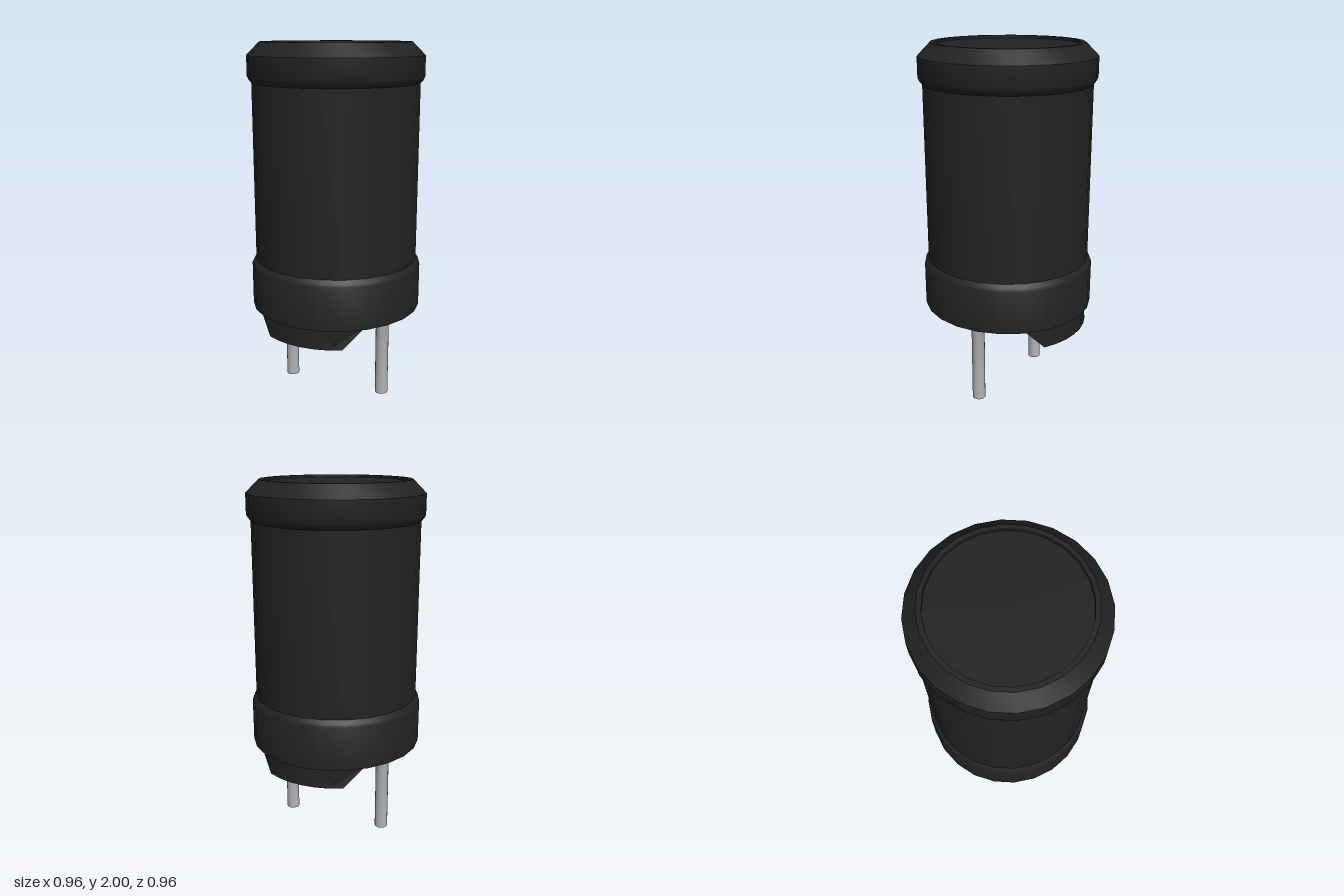
import * as THREE from 'three';
import { toCreasedNormals } from 'three/addons/utils/BufferGeometryUtils.js';

const black = new THREE.MeshStandardMaterial({ color: 0x222222 });
black.name = 'black sleeve';
const metal = new THREE.MeshStandardMaterial({ color: 0xb4b5b8 });
metal.name = 'tinned metal';
const copper = new THREE.MeshStandardMaterial({ color: 0xc08020 });
copper.name = 'copper wire';

function mesh(name, geometry, material) {
  const m = new THREE.Mesh(geometry, material);
  m.name = name;
  return m;
}

function lathe(points, sides, crease) {
  const profile = points.map(([r, y]) => new THREE.Vector2(r, y));
  return toCreasedNormals(new THREE.LatheGeometry(profile, sides), crease);
}

// Horizontal outline of a foot: outer arc, then the straight inner edge
function footLoop(y, arc, innerX, innerZ) {
  const loop = [];
  const steps = 6, r = 0.455;
  for (let i = 0; i <= steps; i++) {
    const a = arc * (2 * i / steps - 1);
    loop.push([r * Math.sin(a), y, r * Math.cos(a)]);
  }
  loop.push([innerX, y, innerZ], [-innerX, y, innerZ]);
  return loop;
}

// Foot tapering downwards between two outlines
function footGeometry() {
  const top = footLoop(0.54, Math.PI / 4, 0.27, 0.21);
  const low = footLoop(0.415, 0.505, 0.19, 0.34);
  const p = [];
  const n = top.length;
  for (let i = 0; i < n; i++) {
    const j = (i + 1) % n;
    p.push(...low[i], ...low[j], ...top[j], ...low[i], ...top[j], ...top[i]);
    if (i > 0 && i < n - 1) p.push(...low[0], ...low[i + 1], ...low[i]);
  }
  const g = new THREE.BufferGeometry();
  g.setAttribute('position', new THREE.Float32BufferAttribute(p, 3));
  g.computeVertexNormals();
  return toCreasedNormals(g, 0.4);
}

export function createModel() {
  const model = new THREE.Group();
  model.name = 'radialInductor';

  // Sleeve with flared ends and a shallow recess in the top
  model.add(mesh('sleeve', lathe([
    [0, 0.533], [0.48, 0.533], [0.48, 0.775], [0.472, 0.79], [0.457, 0.81],
    [0.457, 1.785], [0.472, 1.803], [0.48, 1.82], [0.48, 1.93],
    [0.41, 2], [0.385, 2], [0.385, 1.985], [0, 1.985],
  ], 24, 0.62), black));

  const foot = footGeometry();
  const pin = lathe([
    [0, 0], [0.037, 0], [0.037, 0.43], [0.058, 0.485], [0.058, 0.54],
  ], 16, 0.7);

  // Wire tail running from the pin collar up into the sleeve
  const wirePath = new THREE.CatmullRomCurve3([
    new THREE.Vector3(0.30, 0.515, -0.03),
    new THREE.Vector3(0.295, 0.517, -0.10),
    new THREE.Vector3(0.31, 0.519, -0.155),
    new THREE.Vector3(0.345, 0.53, -0.19),
    new THREE.Vector3(0.36, 0.56, -0.2),
  ]);
  const wire = new THREE.TubeGeometry(wirePath, 16, 0.017, 8);

  // Each half turn repeats one foot, one pin and one wire tail
  for (let i = 0; i < 2; i++) {
    const half = new THREE.Group();
    half.name = i === 0 ? 'frontFootAndLeftPin' : 'backFootAndRightPin';
    half.rotation.y = i * Math.PI;
    const leg = mesh('pin', pin, metal);
    leg.position.x = 0.293;
    half.add(mesh('foot', foot, black), leg, mesh('wireTail', wire, copper));
    model.add(half);
  }
  return model;
}
